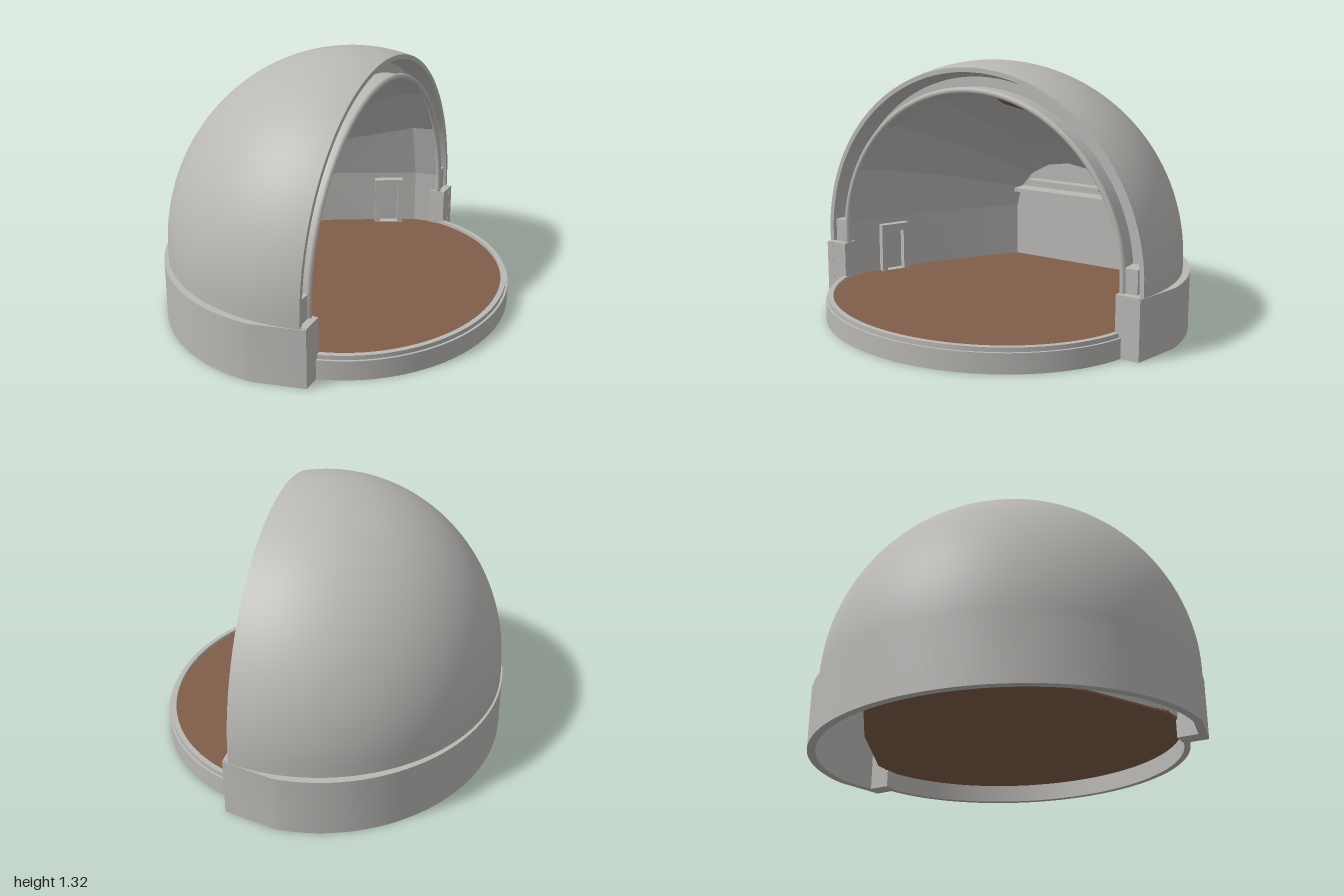
import * as THREE from 'three';
import { toCreasedNormals } from 'three/addons/utils/BufferGeometryUtils.js';

const concrete = new THREE.MeshStandardMaterial({ color: 0xbab8b5, side: THREE.DoubleSide });
concrete.name = 'concrete grey';
const timber = new THREE.MeshStandardMaterial({ color: 0x805d49, side: THREE.DoubleSide });
timber.name = 'timber brown';

const BASE = 0.35; // height of the dome's centre
const FLOOR = 0.1;

// Surface through rows of points that all have the same length
function grid(rows) {
  const n = rows[0].length, index = [];
  for (let i = 0; i < rows.length - 1; i++) {
    for (let j = 0; j < n - 1; j++) {
      const a = i * n + j, b = a + n;
      index.push(a, b, a + 1, b, b + 1, a + 1);
    }
  }
  const g = new THREE.BufferGeometry();
  g.setAttribute('position', new THREE.Float32BufferAttribute(rows.flat(2), 3));
  g.setIndex(index);
  g.computeVertexNormals();
  return g;
}

// Half-round arch at x, with short straight legs down to y = foot
function archRow(x, r, foot = 0.29, n = 64) {
  const row = [[x, foot, r]];
  for (let j = 0; j <= n; j++) {
    const t = Math.PI * j / n;
    row.push([x, BASE + r * Math.sin(t), r * Math.cos(t)]);
  }
  row.push([x, foot, -r]);
  return row;
}

// Plan curve: part of an ellipse in x and z
function ellipseArc(cx, rx, rz, a0, a1, n = 72) {
  return Array.from({ length: n + 1 }, (_, i) => {
    const a = a0 + (a1 - a0) * i / n;
    return new THREE.Vector2(cx + rx * Math.cos(a), rz * Math.sin(a));
  });
}

const points = list => list.map(p => new THREE.Vector2(...p));

// Solid with the given plan, between two heights
function slab(plan, y0, y1) {
  const g = new THREE.ExtrudeGeometry(new THREE.Shape(plan), { depth: y1 - y0, bevelEnabled: false });
  g.rotateX(Math.PI / 2).translate(0, y1, 0);
  return toCreasedNormals(g, 0.6);
}

export function createModel() {
  const model = new THREE.Group();
  const add = (name, geometry, material = concrete) => {
    const mesh = new THREE.Mesh(geometry, material);
    mesh.name = name;
    model.add(mesh);
    return mesh;
  };

  // Outer dome, cut off by the opening
  const cx = 0.055, rx = 0.925, r = 0.97, front = 0.25;
  const end = Math.acos((cx - front) / rx);
  const domeRows = [];
  for (let i = 0; i <= 48; i++) {
    const p = end * i / 48;
    domeRows.push(archRow(cx - rx * Math.cos(p), Math.max(r * Math.sin(p), 0.001)));
  }
  add('dome', grid(domeRows));

  // Front lip and the groove between it and the inner arch
  add('openingLip', grid([archRow(front, r * Math.sin(end)), archRow(front, 0.925)]));
  const groove = grid([[front, 0.925], [0.15, 0.895], [0.15, 0.845], [0.235, 0.845]]
    .map(([x, radius]) => archRow(x, radius)));
  add('openingGroove', toCreasedNormals(groove, 0.6));

  // Round moulding around the inner arch
  const path = archRow(0.237, 0.835, FLOOR, 40).map(p => new THREE.Vector3(...p));
  add('archMoulding', new THREE.TubeGeometry(new THREE.CatmullRomCurve3(path), 120, 0.016, 8));

  // Base wall around the back, running straight towards the opening
  add('baseWall', slab([
    ...points([[0.28, 0.945]]),
    ...ellipseArc(0.02, 0.9, 1, Math.PI / 2, 1.5 * Math.PI),
    ...points([[0.28, -0.945], [0.28, -0.905]]),
    ...ellipseArc(0.02, 0.86, 0.96, 1.5 * Math.PI, Math.PI / 2),
    ...points([[0.28, 0.905]])
  ], 0, 0.3));

  // End pillars, with blocks that close the foot of the groove
  for (const s of [1, -1]) {
    const side = s > 0 ? 'left' : 'right';
    const pillar = add(side + 'Pillar', new THREE.BoxGeometry(0.09, 0.305, 0.12));
    pillar.position.set(0.234, 0.1525, s * 0.88);
    const block = add(side + 'GrooveBlock', new THREE.BoxGeometry(0.09, 0.13, 0.07));
    block.position.set(0.195, 0.36, s * 0.876);
  }

  // Plan of the inner room: x, half width, height of the vault above the wall
  const WALL = 0.4;
  const room = [[0.235, 0.835, 0.785], [0.1, 0.82, 0.77], [-0.32, 0.61, 0.555], [-0.71, 0.34, 0.28]];
  const vaultPoint = ([x, w, h], t) => [x, WALL + h * Math.sin(t), w * Math.cos(t)];
  const vaultRow = s => Array.from({ length: 9 }, (_, j) => vaultPoint(s, Math.PI * j / 8));

  // Ribbed inner vault of eight flat panels
  const vault = grid([...room.map(vaultRow), vaultRow([-0.71, 0.001, 0.001])].reverse());
  add('innerVault', toCreasedNormals(vault, 0.2));

  // One brown panel high in the vault
  const mix = (u, k) => room[1].map((v, i) => v + (room[2][i] - v) * u - (i ? k : 0));
  const panelRows = [0, 0.33].map(u =>
    [4, 5].map(j => vaultPoint(mix(u, 0.008), Math.PI * j / 8)));
  add('vaultPanel', grid(panelRows), timber);

  // Shallow ledges at the back of the vault
  [[0.51, 0.6, 0.1], [0.56, 0.46, 0.06]].forEach(([y, w, d], i) => {
    const ledge = add('backLedge' + (i + 1), new THREE.BoxGeometry(d, 0.02, w));
    ledge.position.set(-0.71 + d / 2, y, 0);
  });

  // Slanted walls of the inner room
  const plan = [
    ...room.map(([x, w]) => [x, w]),
    ...room.slice().reverse().map(([x, w]) => [x, -w])
  ];
  const wallRow = y => plan.map(([x, z]) => [x, y, z]);
  add('roomWall', toCreasedNormals(grid([wallRow(FLOOR), wallRow(WALL)]), 0.2));

  // Door frames on the slanted side walls
  const door = new THREE.Shape(points([[-0.08, 0], [0.08, 0], [0.08, 0.27], [-0.08, 0.27]]));
  door.holes.push(new THREE.Path(points([[-0.05, 0.01], [-0.05, 0.23], [0.05, 0.23], [0.05, 0.01]])));
  for (const s of [1, -1]) {
    const frame = add(s > 0 ? 'leftDoorFrame' : 'rightDoorFrame',
      new THREE.ExtrudeGeometry(door, { depth: 0.04, bevelEnabled: false }));
    frame.position.set(-0.04, FLOOR, s * 0.748);
    frame.rotation.y = s > 0 ? Math.PI - 0.46 : 0.46;
  }

  // Stage floor: round in front, faceted behind
  const q = 1.4;
  add('stageFloor', slab([
    ...ellipseArc(0.1, 0.75, 0.84, -q, q),
    ...points(plan.slice(1, -1))
  ], FLOOR - 0.01, FLOOR + 0.005), timber);

  // Stage skirt and the raised lip on top of it
  const ring = (o, i, y0, y1) => slab([
    ...ellipseArc(0.1, o, o + 0.095, -q, q),
    ...ellipseArc(0.1, i, i + 0.095, q, -q)
  ], y0, y1);
  add('stageSkirt', ring(0.78, 0.75, 0, 0.1));
  add('stageLip', ring(0.768, 0.742, 0.1, 0.122));

  return model;
}
